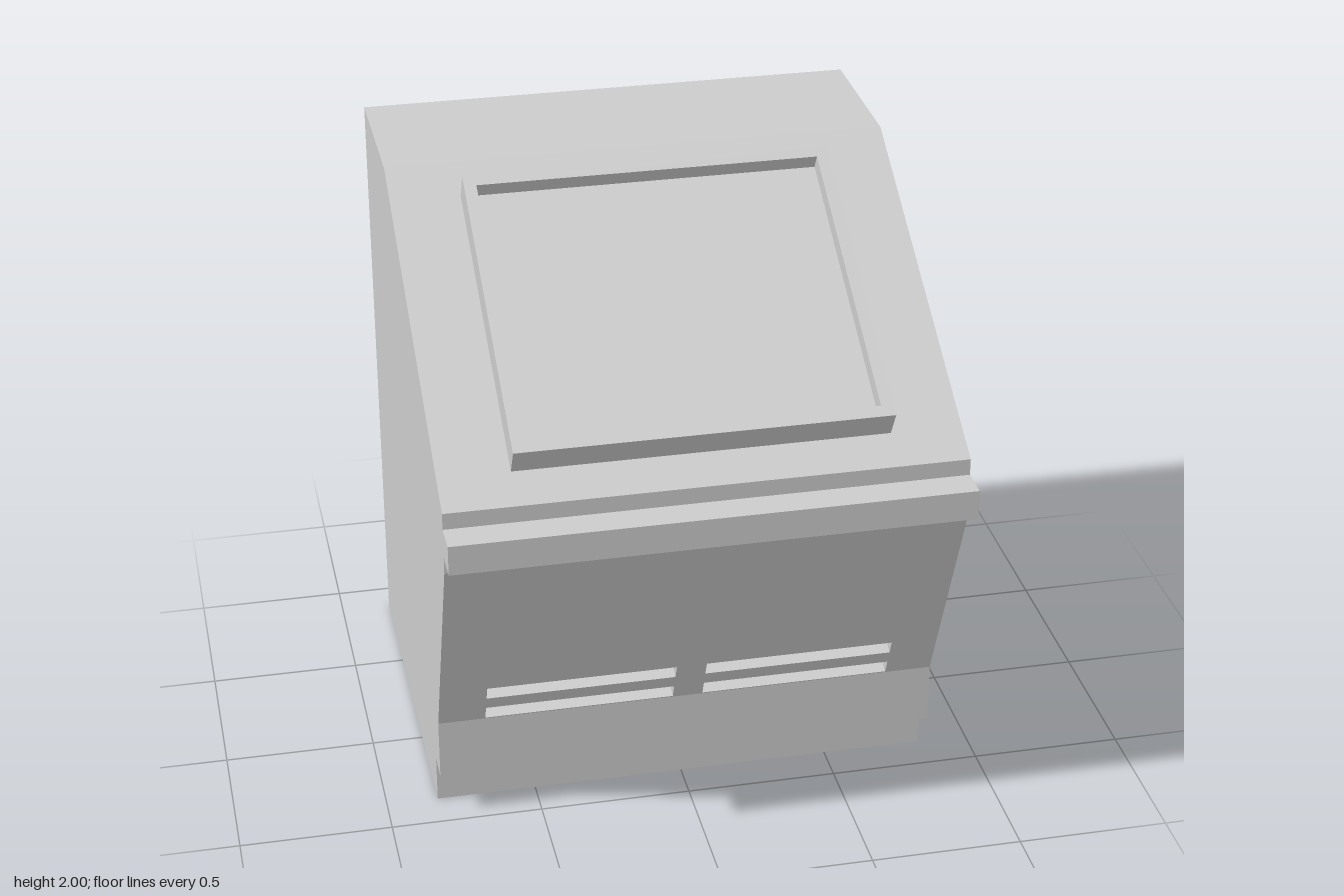
import * as THREE from 'three';

const WIDTH = 1.66;

function rectPath(path, x0, y0, x1, y1) {
  path.moveTo(x0, y0);
  path.lineTo(x1, y0);
  path.lineTo(x1, y1);
  path.lineTo(x0, y1);
  path.closePath();
  return path;
}

function extrude(shape, depth) {
  return new THREE.ExtrudeGeometry(shape, { depth, bevelEnabled: false });
}

export function createModel() {
  const group = new THREE.Group();
  const casing = new THREE.MeshStandardMaterial({ color: 0xcccccc });
  casing.name = 'light grey casing';

  function add(name, geometry, parent = group) {
    const mesh = new THREE.Mesh(geometry, casing);
    mesh.name = name;
    parent.add(mesh);
    return mesh;
  }

  // Cabinet: side profile as (z, y), notched where the slotted front panel sits
  const low = new THREE.Vector2(0.47, 0.366);
  const high = new THREE.Vector2(0.78, 1.12);
  const slope = high.clone().sub(low);
  const panelLength = slope.length();
  const panelTilt = Math.atan2(slope.x, slope.y);
  const slotDepth = 0.11;
  const inward = new THREE.Vector2(-Math.cos(panelTilt), Math.sin(panelTilt)).multiplyScalar(slotDepth);
  const profile = new THREE.Shape([
    new THREE.Vector2(-0.88, 0),
    new THREE.Vector2(0.37, 0),
    new THREE.Vector2(0.37, 0.16),
    new THREE.Vector2(0.47, 0.16),
    low,
    low.clone().add(inward),
    high.clone().add(inward),
    high,
    new THREE.Vector2(0.78, 1.175),
    new THREE.Vector2(0.885, 1.175),
    new THREE.Vector2(0.885, 1.275),
    new THREE.Vector2(0.78, 1.275),
    new THREE.Vector2(0.78, 1.33),
    new THREE.Vector2(-0.36, 1.975),
    new THREE.Vector2(-0.88, 1.975),
  ]);
  const cabinet = extrude(profile, WIDTH);
  cabinet.rotateY(-Math.PI / 2);
  cabinet.translate(WIDTH / 2, 0, 0);
  add('cabinet', cabinet);

  // Sloping front panel with two rows of vent slots
  const panel = rectPath(new THREE.Shape(), -WIDTH / 2, 0, WIDTH / 2, panelLength);
  for (const y of [0.004, 0.113]) {
    for (const x of [-0.675, 0.05]) {
      panel.holes.push(rectPath(new THREE.Path(), x, y, x + 0.625, y + 0.056));
    }
  }
  const frontPanel = add('ventedFrontPanel', extrude(panel, slotDepth).translate(0, 0, -slotDepth));
  frontPanel.position.set(0, low.y, low.x);
  frontPanel.rotation.x = panelTilt;

  // Raised display on the sloping top
  const display = new THREE.Group();
  display.name = 'display';
  display.position.set(0, 1.65, 0.215);
  display.rotation.x = -Math.PI / 2 + Math.atan2(0.645, 1.14);
  group.add(display);

  const frame = rectPath(new THREE.Shape(), -0.6, -0.525, 0.6, 0.525);
  frame.holes.push(rectPath(new THREE.Path(), -0.56, -0.485, 0.56, 0.485));
  add('displayFrame', extrude(frame, 0.103), display);

  const screen = new THREE.BoxGeometry(1.12, 0.97, 0.048);
  screen.translate(0, 0, 0.024);
  add('displayScreen', screen, display);

  return group;
}
